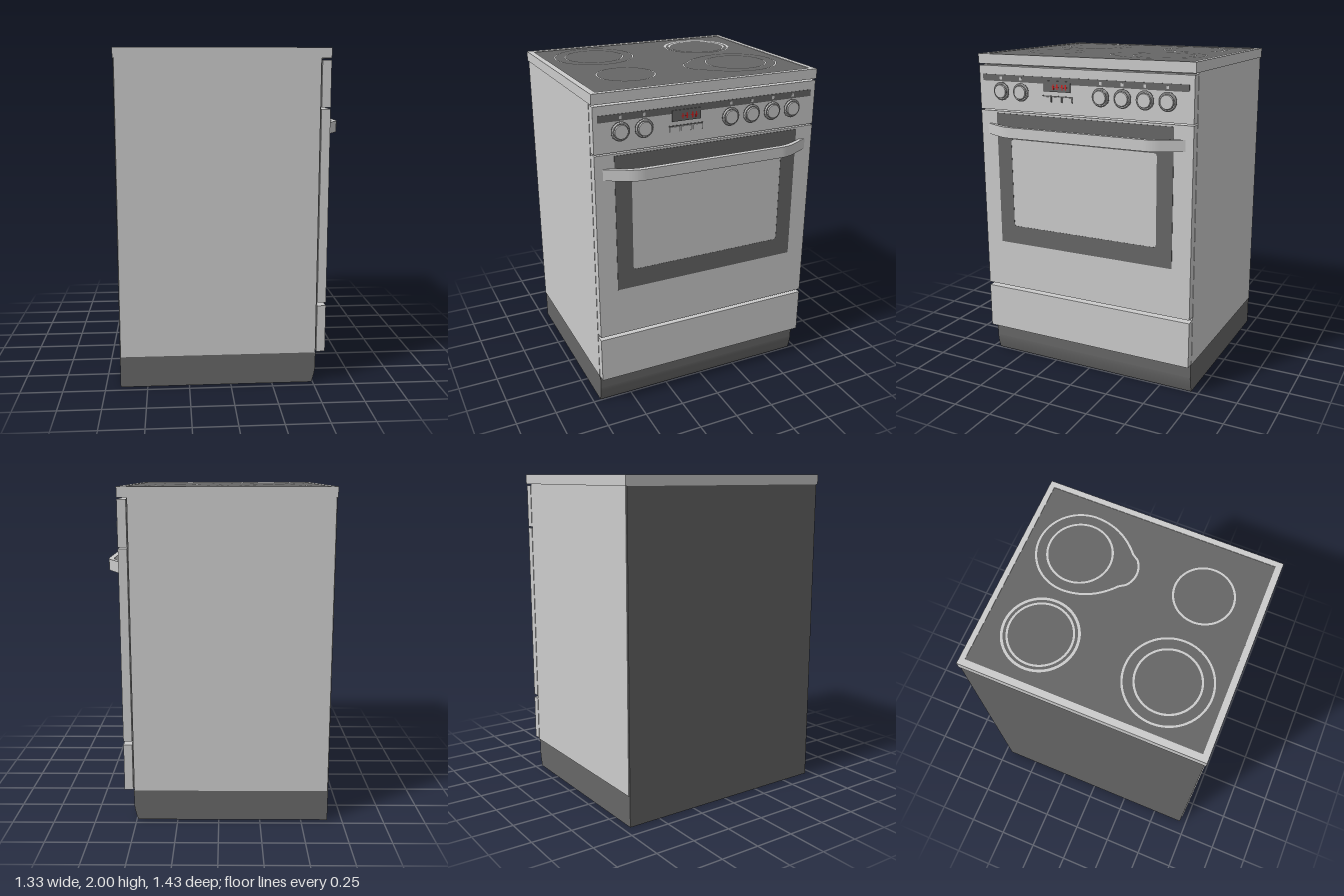
import * as THREE from 'three';

const mat = (color) => new THREE.MeshStandardMaterial({ color });
const GREY = mat(0xcccccc);
const DARK = mat(0x666666);
const GLASS = mat(0xdadada);
const LIGHT = mat(0xf5f5f5);
const RED = mat(0xd02020);

export function createModel() {
  const root = new THREE.Group();

  const add = (name, geometry, material = GREY, parent = root) => {
    const mesh = new THREE.Mesh(geometry, material);
    mesh.name = name;
    parent.add(mesh);
    return mesh;
  };

  // Box given by its limits on each axis
  const box = (name, [x0, x1], [y0, y1], [z0, z1], material, parent) => {
    const g = new THREE.BoxGeometry(x1 - x0, y1 - y0, z1 - z0);
    g.translate((x0 + x1) / 2, (y0 + y1) / 2, (z0 + z1) / 2);
    return add(name, g, material, parent);
  };

  const group = (name) => {
    const g = new THREE.Group();
    g.name = name;
    root.add(g);
    return g;
  };

  const rect = (Type, x0, x1, y0, y1, r = 0) => {
    const s = new Type();
    s.moveTo(x0 + r, y0);
    s.lineTo(x1 - r, y0);
    if (r) s.quadraticCurveTo(x1, y0, x1, y0 + r);
    s.lineTo(x1, y1 - r);
    if (r) s.quadraticCurveTo(x1, y1, x1 - r, y1);
    s.lineTo(x0 + r, y1);
    if (r) s.quadraticCurveTo(x0, y1, x0, y1 - r);
    s.lineTo(x0, y0 + r);
    if (r) s.quadraticCurveTo(x0, y0, x0 + r, y0);
    return s;
  };

  const extrude = (shape, depth) =>
    new THREE.ExtrudeGeometry(shape, { depth, bevelEnabled: false, curveSegments: 12 });

  // Cabinet
  box('cabinet', [-0.655, 0.512], [0.19, 1.94], [-0.71, 0.71]);
  box('backPanel', [-0.662, -0.655], [0.0, 1.94], [-0.705, 0.705], DARK);
  box('frontRecess', [0.512, 0.518], [0.2, 1.935], [-0.695, 0.695], DARK);

  // Plinth with a toe edge that curves back near the floor
  const toe = new THREE.Shape();
  toe.moveTo(-0.658, 0);
  toe.lineTo(0.492, 0);
  toe.quadraticCurveTo(0.512, 0.06, 0.514, 0.1);
  toe.lineTo(0.514, 0.19);
  toe.lineTo(-0.658, 0.19);
  add('plinth', extrude(toe, 1.41).translate(0, 0, -0.705), DARK);

  // Drawer, oven door and control panel
  box('drawer', [0.518, 0.57], [0.196, 0.483], [-0.71, 0.71]);
  box('ovenDoor', [0.518, 0.57], [0.504, 1.654], [-0.71, 0.71]);
  box('controlPanel', [0.518, 0.57], [1.662, 1.93], [-0.71, 0.71]);

  // Door glass: dark border around a rounded window
  const border = rect(THREE.Shape, -0.593, 0.593, 0.806, 1.642);
  border.holes.push(rect(THREE.Path, -0.492, 0.492, 0.923, 1.483, 0.02));
  add('doorGlassBorder', extrude(border, 0.003).rotateY(Math.PI / 2).translate(0.57, 0, 0), DARK);
  const pane = rect(THREE.Shape, -0.492, 0.492, 0.923, 1.483, 0.02);
  add('doorWindow', extrude(pane, 0.002).rotateY(Math.PI / 2).translate(0.57, 0, 0), GLASS);

  // Bowed door handle, drawn in plan
  const bar = new THREE.Shape();
  bar.moveTo(0.57, -0.662);
  bar.lineTo(0.637, -0.535);
  bar.quadraticCurveTo(0.66, -0.49, 0.66, -0.44);
  bar.lineTo(0.66, 0.44);
  bar.quadraticCurveTo(0.66, 0.49, 0.637, 0.535);
  bar.lineTo(0.57, 0.662);
  bar.lineTo(0.57, 0.615);
  bar.lineTo(0.608, 0.53);
  bar.quadraticCurveTo(0.628, 0.485, 0.628, 0.44);
  bar.lineTo(0.628, -0.44);
  bar.quadraticCurveTo(0.628, -0.485, 0.608, -0.53);
  bar.lineTo(0.57, -0.615);
  add('doorHandle', extrude(bar, 0.066).rotateX(-Math.PI / 2).translate(0, 1.507, 0));

  // Control panel strip, display and keys
  const controls = group('controls');
  box('markingStrip', [0.57, 0.572], [1.838, 1.878], [-0.68, 0.684], DARK, controls);
  box('display', [0.57, 0.577], [1.793, 1.857], [0.064, 0.244], DARK, controls);
  for (const z of [0.178, 0.152, 0.118, 0.094]) {
    box('displayBar', [0.577, 0.578], [1.805, 1.838], [z - 0.004, z + 0.004], RED, controls);
    box('displayDash', [0.577, 0.578], [1.818, 1.824], [z - 0.009, z + 0.009], RED, controls);
  }
  box('keyTopLine', [0.57, 0.573], [1.763, 1.769], [0.048, 0.26], DARK, controls);
  for (const z of [0.05, 0.123, 0.195]) {
    box('keyDivider', [0.57, 0.573], [1.73, 1.765], [z - 0.002, z + 0.002], DARK, controls);
    box('key', [0.57, 0.576], [1.733, 1.762], [z + 0.004, z + 0.062], GREY, controls);
  }

  // Knobs, each with a dark seat, a skirt, a cap and a small mark above
  const disc = (name, rFront, rBack, x0, x1, z, material) => {
    const g = new THREE.CylinderGeometry(rFront, rBack, x1 - x0, 40);
    g.rotateZ(-Math.PI / 2).translate((x0 + x1) / 2, 1.777, z);
    add(name, g, material, controls);
  };
  for (const z of [0.552, 0.411, -0.133, -0.273, -0.414, -0.552]) {
    disc('knobSeat', 0.056, 0.056, 0.57, 0.572, z, DARK);
    disc('knobSkirt', 0.049, 0.053, 0.572, 0.58, z, GREY);
    disc('knobGroove', 0.045, 0.045, 0.58, 0.581, z, DARK);
    disc('knobCap', 0.039, 0.042, 0.58, 0.589, z, GREY);
    box('knobMark', [0.572, 0.573], [1.848, 1.866], [z - 0.008, z + 0.008], LIGHT, controls);
  }

  // Hob: rim, ceramic plate and zone outlines
  const rim = rect(THREE.Shape, -0.665, 0.57, -0.715, 0.715);
  rim.holes.push(rect(THREE.Path, -0.626, 0.535, -0.678, 0.683));
  add('hobRim', extrude(rim, 0.06).rotateX(-Math.PI / 2).translate(0, 1.94, 0));
  box('hobPlate', [-0.63, 0.538], [1.945, 1.997], [-0.685, 0.68], DARK);

  const zones = group('cookingZones');
  const ring = (x, z, r, w = 0.012) => {
    const g = new THREE.RingGeometry(r - w / 2, r + w / 2, 72);
    g.rotateX(-Math.PI / 2).translate(x, 1.999, z);
    add('zoneRing', g, LIGHT, zones);
  };
  ring(-0.34, -0.37, 0.212, 0.015);
  ring(-0.34, -0.37, 0.183);
  ring(0.195, -0.37, 0.185);
  ring(-0.328, 0.37, 0.248);
  ring(-0.328, 0.37, 0.184);
  ring(0.213, 0.37, 0.171);

  // Pear-shaped extended zone: one outline offset to both sides
  const pear = new THREE.Path();
  pear.moveTo(0.248, 0);
  pear.absarc(0, 0, 0.248, 0, Math.PI, false);
  pear.quadraticCurveTo(-0.245, -0.165, -0.108, -0.28);
  pear.lineTo(-0.083, -0.318);
  pear.quadraticCurveTo(0, -0.375, 0.083, -0.318);
  pear.lineTo(0.108, -0.28);
  pear.quadraticCurveTo(0.245, -0.165, 0.248, 0);
  const line = pear.getSpacedPoints(120).slice(0, -1);
  const offset = (d) => line.map((p, i) => {
    const a = line[(i + line.length - 1) % line.length];
    const b = line[(i + 1) % line.length];
    const t = b.clone().sub(a).normalize();
    return new THREE.Vector2(p.x + t.y * d, p.y - t.x * d);
  });
  const pearShape = new THREE.Shape(offset(0.006));
  pearShape.holes.push(new THREE.Path(offset(-0.006)));
  const pearGeo = new THREE.ShapeGeometry(pearShape);
  add('extendedZone', pearGeo.rotateX(-Math.PI / 2).translate(0.195, 1.999, -0.37), LIGHT, zones);

  return root;
}
